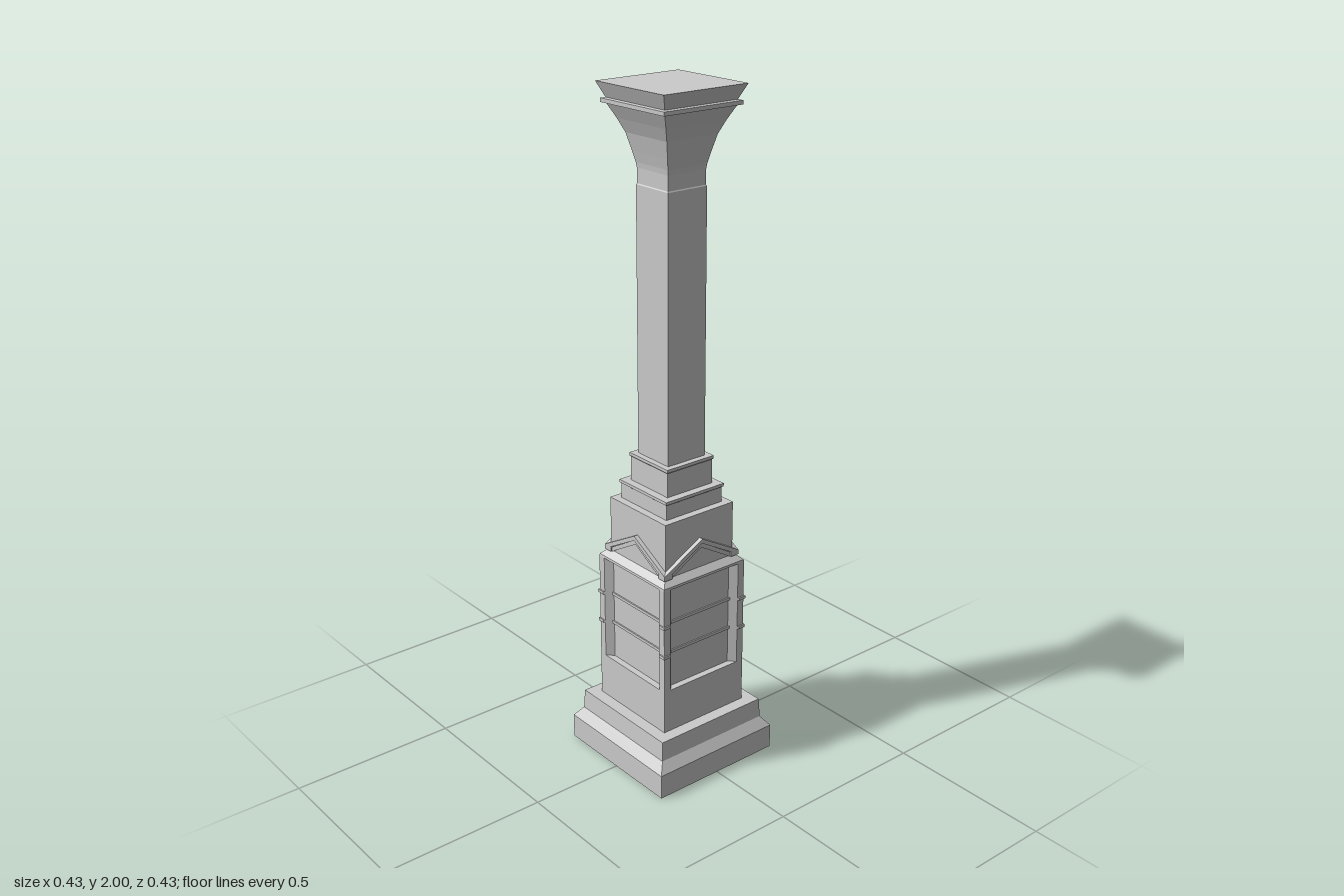
import * as THREE from 'three';

const material = new THREE.MeshStandardMaterial({ color: 0xcccccc, flatShading: true });

// Square tier turned from a [half width, height] profile, closed at both ends
function squareTier(name, profile) {
  const points = [[0, profile[0][1]], ...profile, [0, profile.at(-1)[1]]]
    .map(([half, y]) => new THREE.Vector2(half * Math.SQRT2, y));
  const mesh = new THREE.Mesh(new THREE.LatheGeometry(points, 4, Math.PI / 4), material);
  mesh.name = name;
  return mesh;
}

// Plan with corner piers and splayed reveals around four recessed panels
function pierPlan(grow) {
  const corner = [[0.13, 0.108], [0.15, 0.127], [0.15, 0.15], [0.127, 0.15], [0.108, 0.13]];
  const points = [];
  for (let i = 0; i < 4; i++) {
    const a = i * Math.PI / 2;
    for (const [x, y] of corner) {
      points.push(new THREE.Vector2(x + grow, y + grow).rotateAround(new THREE.Vector2(), a));
    }
  }
  return new THREE.Shape(points);
}

function planSlab(name, grow, y0, y1) {
  const geometry = new THREE.ExtrudeGeometry(pierPlan(grow), { depth: y1 - y0, bevelEnabled: false });
  geometry.rotateX(-Math.PI / 2).translate(0, y0, 0);
  const mesh = new THREE.Mesh(geometry, material);
  mesh.name = name;
  return mesh;
}

// Upright shape on the front face, extruded from z0 to z1
function facePiece(name, points, z0, z1) {
  const shape = new THREE.Shape(points.map(([x, y]) => new THREE.Vector2(x, y)));
  const geometry = new THREE.ExtrudeGeometry(shape, { depth: z1 - z0, bevelEnabled: false });
  const mesh = new THREE.Mesh(geometry.translate(0, 0, z0), material);
  mesh.name = name;
  return mesh;
}

function chevron(name, half, yEnd, yApex, thick, z0, z1) {
  return facePiece(name, [[-half, yEnd], [0, yApex], [half, yEnd],
    [half, yEnd + thick], [0, yApex + thick], [-half, yEnd + thick]], z0, z1);
}

export function createModel() {
  const model = new THREE.Group();
  model.name = 'column';

  // Stepped foot and plain dado
  model.add(squareTier('plinth', [[0.213, 0], [0.213, 0.075], [0.19, 0.105], [0.187, 0.165]]));
  model.add(squareTier('dado', [[0.15, 0.165], [0.15, 0.3]]));

  // Panelled pedestal with sloped pier tops
  model.add(planSlab('panelledPedestal', 0, 0.3, 0.625));
  model.add(squareTier('pierCaps', [[0.15, 0.625], [0.149, 0.632], [0.125, 0.655]]));

  // Thin bands wrapped around piers and panels
  for (const y of [0.41, 0.505]) model.add(planSlab('band', 0.004, y, y + 0.009));

  // Gable and raking moulding on every face
  for (let i = 0; i < 4; i++) {
    const gable = new THREE.Group();
    gable.name = 'gable';
    gable.rotation.y = i * Math.PI / 2;
    gable.add(
      facePiece('gablePanel', [[-0.127, 0.62], [0.127, 0.62], [0.127, 0.637], [0, 0.715], [-0.127, 0.637]], 0.11, 0.13),
      chevron('lowerMoulding', 0.133, 0.635, 0.712, 0.014, 0.11, 0.133),
      chevron('upperMoulding', 0.138, 0.649, 0.726, 0.014, 0.11, 0.138));
    model.add(gable);
  }

  // Upper block and setbacks
  model.add(squareTier('upperBlock', [[0.125, 0.63], [0.125, 0.815]]));
  model.add(squareTier('lowerSetback', [[0.102, 0.815], [0.102, 0.86], [0.106, 0.863], [0.106, 0.872]]));
  model.add(squareTier('upperSetback', [[0.082, 0.872], [0.082, 0.945], [0.085, 0.948], [0.085, 0.957]]));

  // Shaft with necking, then flared capital
  model.add(squareTier('shaft', [[0.067, 0.957], [0.067, 1.73], [0.065, 1.733], [0.065, 1.78]]));
  model.add(squareTier('capital', [[0.065, 1.775], [0.067, 1.79], [0.074, 1.82], [0.086, 1.868],
    [0.102, 1.905], [0.121, 1.943], [0.132, 1.945], [0.132, 1.956], [0.122, 1.958], [0.141, 2]]));

  return model;
}
